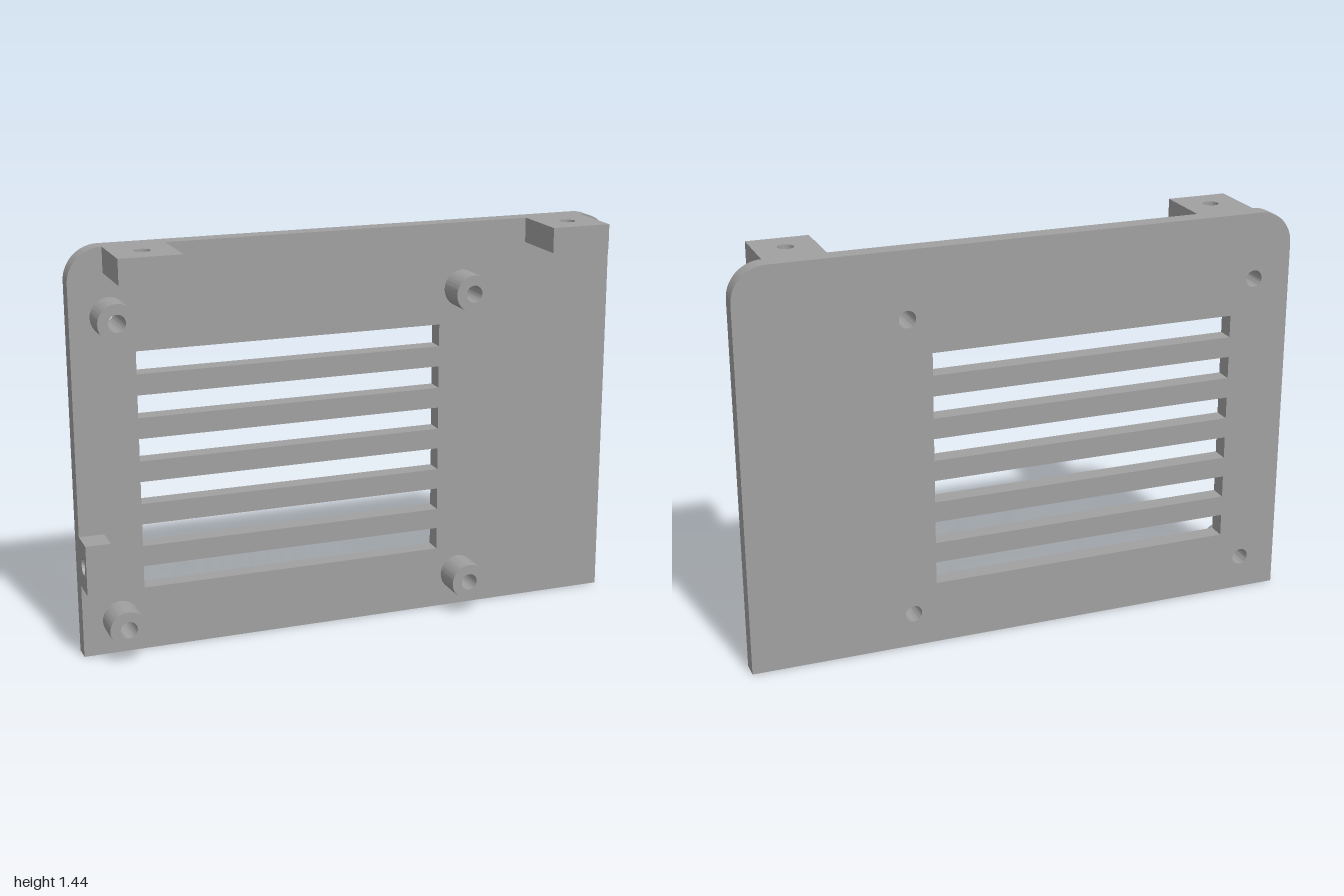
import * as THREE from 'three';
import { toCreasedNormals } from 'three/addons/utils/BufferGeometryUtils.js';

const BACK = -0.144, FACE = -0.08, TOP = 1.443;

function rectangle(PathType, x0, y0, x1, y1) {
  const p = new PathType();
  p.moveTo(x0, y0);
  p.lineTo(x1, y0);
  p.lineTo(x1, y1);
  p.lineTo(x0, y1);
  p.closePath();
  return p;
}

function circle(PathType, x, y, r) {
  const p = new PathType();
  p.absarc(x, y, r, 0, Math.PI * 2, false);
  return p;
}

function extrude(shape, depth) {
  const g = new THREE.ExtrudeGeometry(shape, { depth, bevelEnabled: false, curveSegments: 32 });
  return toCreasedNormals(g, 0.6);
}

export function createModel() {
  const group = new THREE.Group();
  const grey = new THREE.MeshStandardMaterial({ color: 0xa0a0a0 });
  grey.name = 'plain grey';

  const add = (name, geometry) => {
    const mesh = new THREE.Mesh(geometry, grey);
    mesh.name = name;
    group.add(mesh);
  };

  const mounts = [];
  for (const x of [-0.863, 0.417]) for (const y of [0.124, 1.206]) mounts.push([x, y]);

  // Back plate with two rounded upper corners
  const r = 0.12;
  const plate = new THREE.Shape();
  plate.moveTo(-1, 0);
  plate.lineTo(1, 0);
  plate.lineTo(1, TOP - r);
  plate.absarc(1 - r, TOP - r, r, 0, Math.PI / 2, false);
  plate.lineTo(-1 + r, TOP);
  plate.absarc(-1 + r, TOP - r, r, Math.PI / 2, Math.PI, false);
  plate.closePath();

  // Ventilation slots and screw holes
  for (let i = 0; i < 6; i++) {
    const y = 0.228 + i * 0.1542;
    plate.holes.push(rectangle(THREE.Path, -0.777, y, 0.332, y + 0.08));
  }
  for (const [x, y] of mounts) plate.holes.push(circle(THREE.Path, x, y, 0.03));
  add('backPlate', extrude(plate, FACE - BACK).translate(0, 0, BACK));

  // Hollow standoffs around the screw holes
  for (const [x, y] of mounts) {
    const ring = circle(THREE.Shape, x, y, 0.066);
    ring.holes.push(circle(THREE.Path, x, y, 0.03));
    add('standoff', extrude(ring, 0.112).translate(0, 0, FACE));
  }

  // Upper tabs, drilled vertically
  for (const side of [-1, 1]) {
    const x = side * 0.771;
    const tab = rectangle(THREE.Shape, x - 0.108, FACE, x + 0.108, 0.144);
    tab.holes.push(circle(THREE.Path, x, 0.032, 0.028));
    add('upperTab', extrude(tab, 0.088).rotateX(Math.PI / 2).translate(0, TOP, 0));
  }

  // Side tab, drilled sideways
  const sideTab = rectangle(THREE.Shape, FACE, 0.266, 0.022, 0.444);
  sideTab.holes.push(circle(THREE.Path, -0.027, 0.355, 0.029));
  add('sideTab', extrude(sideTab, 0.088).rotateY(-Math.PI / 2).translate(-0.912, 0, 0));

  return group;
}
